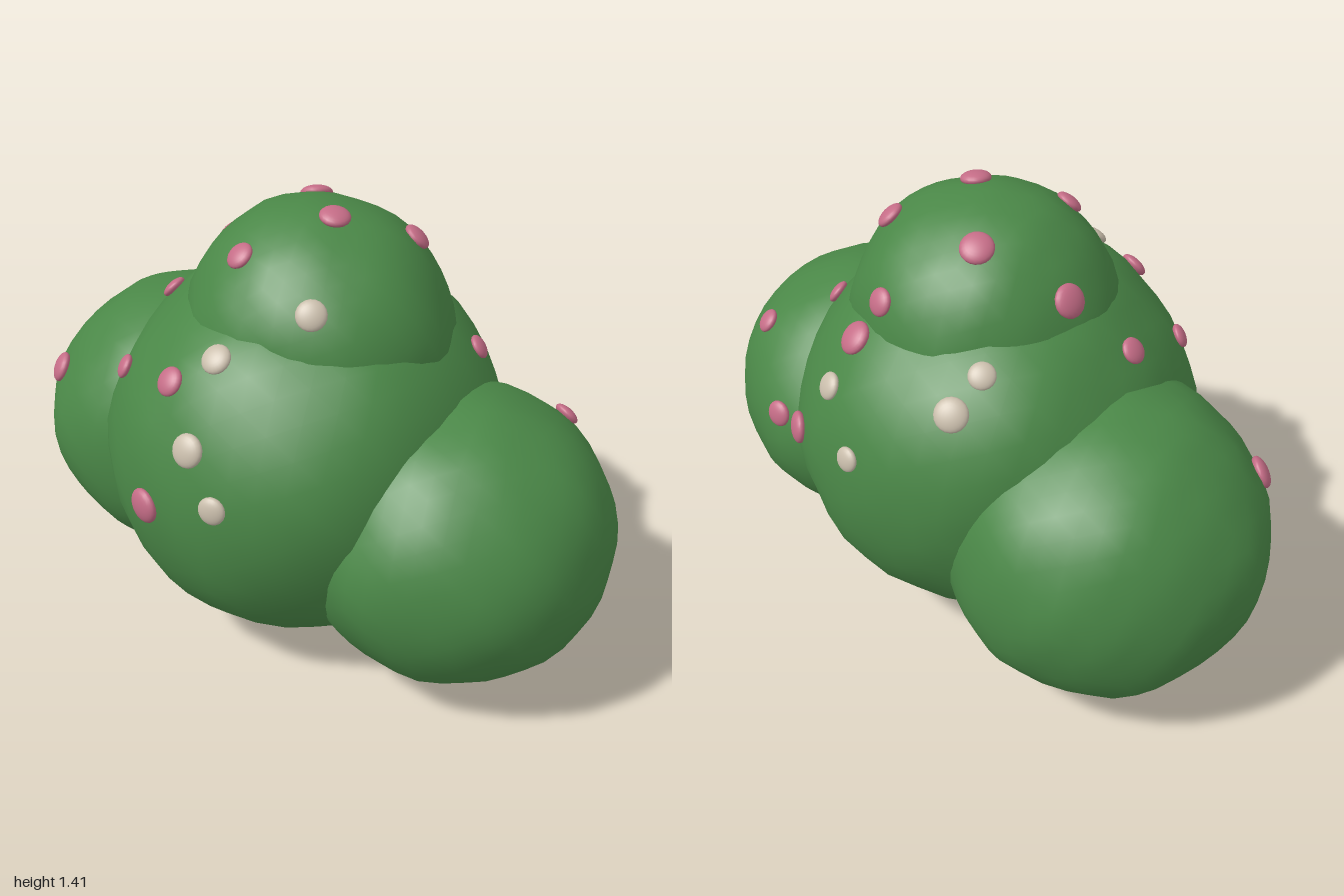
import * as THREE from 'three';
import { mergeVertices } from 'three/addons/utils/BufferGeometryUtils.js';

const leafGreen = new THREE.MeshStandardMaterial({ color: 0x4a8747 });
leafGreen.name = 'leaf green';
const pink = new THREE.MeshStandardMaterial({ color: 0xc46c86 });
pink.name = 'blossom pink';
const cream = new THREE.MeshStandardMaterial({ color: 0xc9bdab });
cream.name = 'blossom cream';

const bump = (x, y, z, size) => ({ dir: new THREE.Vector3(x, y, z).normalize(), size });

// Foliage clumps: centre, radii, phase of the small lumps, and broad bulges
const clumps = {
  mainFoliage: {
    c: [0.01, 0.61, -0.005], r: [0.605, 0.605, 0.625], phase: 0.4,
    bumps: [bump(-0.8, 0.5, -0.35, 0.09), bump(0.85, 0.42, 0.2, 0.055)],
  },
  rightFoliage: {
    c: [-0.525, 0.485, 0.07], r: [0.475, 0.465, 0.49], phase: 2.1,
    bumps: [bump(0.6, 0.6, 0.55, 0.07)],
  },
  leftFoliage: {
    c: [0.53, 0.47, -0.165], r: [0.47, 0.45, 0.475], phase: 4.0,
    bumps: [bump(-0.65, 0.15, -0.7, 0.07)],
  },
  topFoliage: {
    c: [0.03, 0.98, -0.03], r: [0.41, 0.41, 0.405], phase: 5.3,
    bumps: [bump(0.95, 0.1, 0.05, 0.06), bump(-0.5, 0.8, 0.35, 0.025)],
  },
};

// Surface point of a lumpy clump in a unit direction
function surfacePoint({ c, r, phase, bumps }, d) {
  const broad = Math.sin(5 * d.x + phase) * Math.sin(5 * d.y + 2 * phase) * Math.sin(5 * d.z + 3 * phase);
  const fine = Math.sin(11 * d.x + 3 * phase + 4 * d.y) * Math.sin(10 * d.z - 5 * d.y + phase);
  let s = 1 + 0.018 * broad + 0.01 * fine;
  for (const b of bumps) s += b.size * Math.exp((d.dot(b.dir) - 1) * 7);
  return new THREE.Vector3(c[0] + d.x * r[0] * s, c[1] + d.y * r[1] * s, c[2] + d.z * r[2] * s);
}

function makeClump(clump) {
  let geo = new THREE.IcosahedronGeometry(1, 7);
  geo.deleteAttribute('normal');
  geo.deleteAttribute('uv');
  geo = mergeVertices(geo, 1e-4);
  const pos = geo.attributes.position;
  const d = new THREE.Vector3();
  for (let i = 0; i < pos.count; i++) {
    d.fromBufferAttribute(pos, i).normalize();
    const p = surfacePoint(clump, d);
    pos.setXYZ(i, p.x, p.y, p.z);
  }
  geo.computeVertexNormals();
  return new THREE.Mesh(geo, leafGreen);
}

// Blossoms: clump, x, y, z, radius
const pinkSpots = [
  ['mainFoliage', 0.042, 0.617, 0.62, 0.054],
  ['mainFoliage', 0.03, 0.98, 0.495, 0.044],
  ['mainFoliage', -0.41, 1.03, 0.21, 0.04],
  ['mainFoliage', -0.25, 0.885, 0.46, 0.038],
  ['mainFoliage', 0.025, 1.035, -0.46, 0.052],
  ['mainFoliage', 0.385, 0.97, -0.37, 0.038],
  ['mainFoliage', 0.14, 0.69, -0.615, 0.05],
  ['topFoliage', 0.01, 1.31, 0.255, 0.042],
  ['topFoliage', 0.125, 1.39, -0.01, 0.046],
  ['topFoliage', -0.325, 1.2, 0.045, 0.05],
  ['topFoliage', -0.155, 1.35, -0.16, 0.05],
  ['topFoliage', 0.21, 1.295, -0.255, 0.044],
  ['topFoliage', -0.02, 1.16, -0.39, 0.042],
  ['rightFoliage', -0.71, 0.69, 0.47, 0.05],
  ['leftFoliage', 0.345, 0.6, -0.61, 0.042],
  ['leftFoliage', 0.6, 0.775, -0.525, 0.04],
];
const creamSpots = [
  ['topFoliage', 0.295, 1.21, 0.205, 0.045],
  ['mainFoliage', 0.13, 1.065, 0.405, 0.045],
  ['mainFoliage', 0.18, 0.85, 0.555, 0.05],
  ['mainFoliage', 0.285, 0.705, 0.535, 0.042],
  ['mainFoliage', 0.01, 0.91, -0.56, 0.042],
  ['mainFoliage', -0.17, 0.78, -0.63, 0.038],
  ['mainFoliage', -0.37, 0.985, -0.355, 0.05],
  ['mainFoliage', -0.35, 1.06, -0.25, 0.04],
];

const blossomGeo = new THREE.SphereGeometry(1, 20, 14);
const up = new THREE.Vector3(0, 1, 0);

// Flattened bead lying on the foliage surface
function makeBlossom([clumpName, x, y, z, radius], material, name) {
  const clump = clumps[clumpName];
  const { c, r } = clump;
  const dir = new THREE.Vector3((x - c[0]) / r[0], (y - c[1]) / r[1], (z - c[2]) / r[2]).normalize();
  const blossom = new THREE.Mesh(blossomGeo, material);
  blossom.name = name;
  blossom.position.copy(surfacePoint(clump, dir)).addScaledVector(dir, 0.006);
  blossom.quaternion.setFromUnitVectors(up, dir);
  blossom.scale.set(radius, radius * 0.45, radius);
  return blossom;
}

export function createModel() {
  const bush = new THREE.Group();
  bush.name = 'floweringBush';

  for (const [name, clump] of Object.entries(clumps)) {
    const mesh = makeClump(clump);
    mesh.name = name;
    bush.add(mesh);
  }

  const blossoms = new THREE.Group();
  blossoms.name = 'blossoms';
  pinkSpots.forEach((s, i) => blossoms.add(makeBlossom(s, pink, `pinkBlossom${i + 1}`)));
  creamSpots.forEach((s, i) => blossoms.add(makeBlossom(s, cream, `creamBlossom${i + 1}`)));
  bush.add(blossoms);

  return bush;
}
